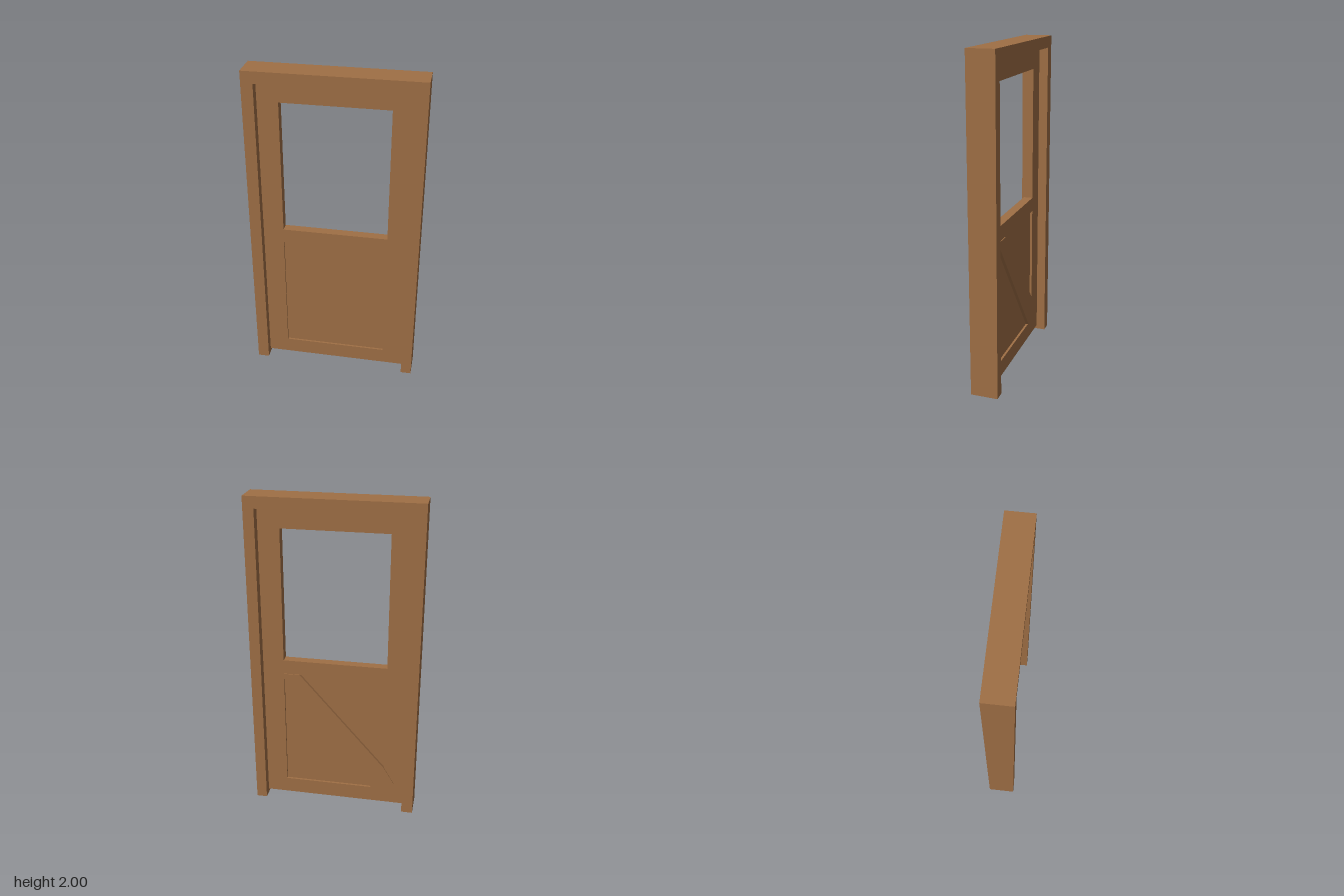
import * as THREE from 'three';

export function createModel() {
  const model = new THREE.Group();
  model.name = 'door';
  const wood = new THREE.MeshStandardMaterial({ color: 0x9f6f45 });
  wood.name = 'brown wood';

  const outline = (points) => points.map(([x, y]) => new THREE.Vector2(x, y));
  const rect = (x0, x1, y0, y1) => outline([[x0, y0], [x1, y0], [x1, y1], [x0, y1]]);

  // Flat board in the xy plane between two depths, with optional openings
  function board(name, points, z0, z1, holes = []) {
    const shape = new THREE.Shape(points);
    for (const hole of holes) shape.holes.push(new THREE.Path(hole.slice().reverse()));
    const geometry = new THREE.ExtrudeGeometry(shape, { depth: z1 - z0, bevelEnabled: false });
    geometry.translate(0, 0, z0);
    const mesh = new THREE.Mesh(geometry, wood);
    mesh.name = name;
    model.add(mesh);
  }

  // Surrounding frame: two jambs and a head, open at the bottom
  board('doorFrame', outline([
    [-0.515, 0], [-0.445, 0], [-0.445, 1.93], [0.45, 1.93],
    [0.45, 0], [0.515, 0], [0.515, 2], [-0.515, 2],
  ]), -0.083, 0.083);

  // Door leaf: stiles and rails around the window and the lower panel
  board('doorLeaf', rect(-0.445, 0.45, 0.025, 1.93), -0.027, 0.03, [
    rect(-0.32, 0.32, 0.985, 1.81),
    rect(-0.32, 0.32, 0.125, 0.895),
  ]);

  // Sunken lower panel
  board('lowerPanel', rect(-0.32, 0.32, 0.125, 0.895), -0.013, 0.018);

  // Diagonal brace on the back of the panel
  board('backBrace', outline([
    [0.32, 0.86], [-0.24, 0.125], [-0.32, 0.125], [-0.385, 0.17],
    [-0.32, 0.28], [0.22, 0.895], [0.32, 0.895],
  ].reverse()), -0.032, -0.013);

  return model;
}
